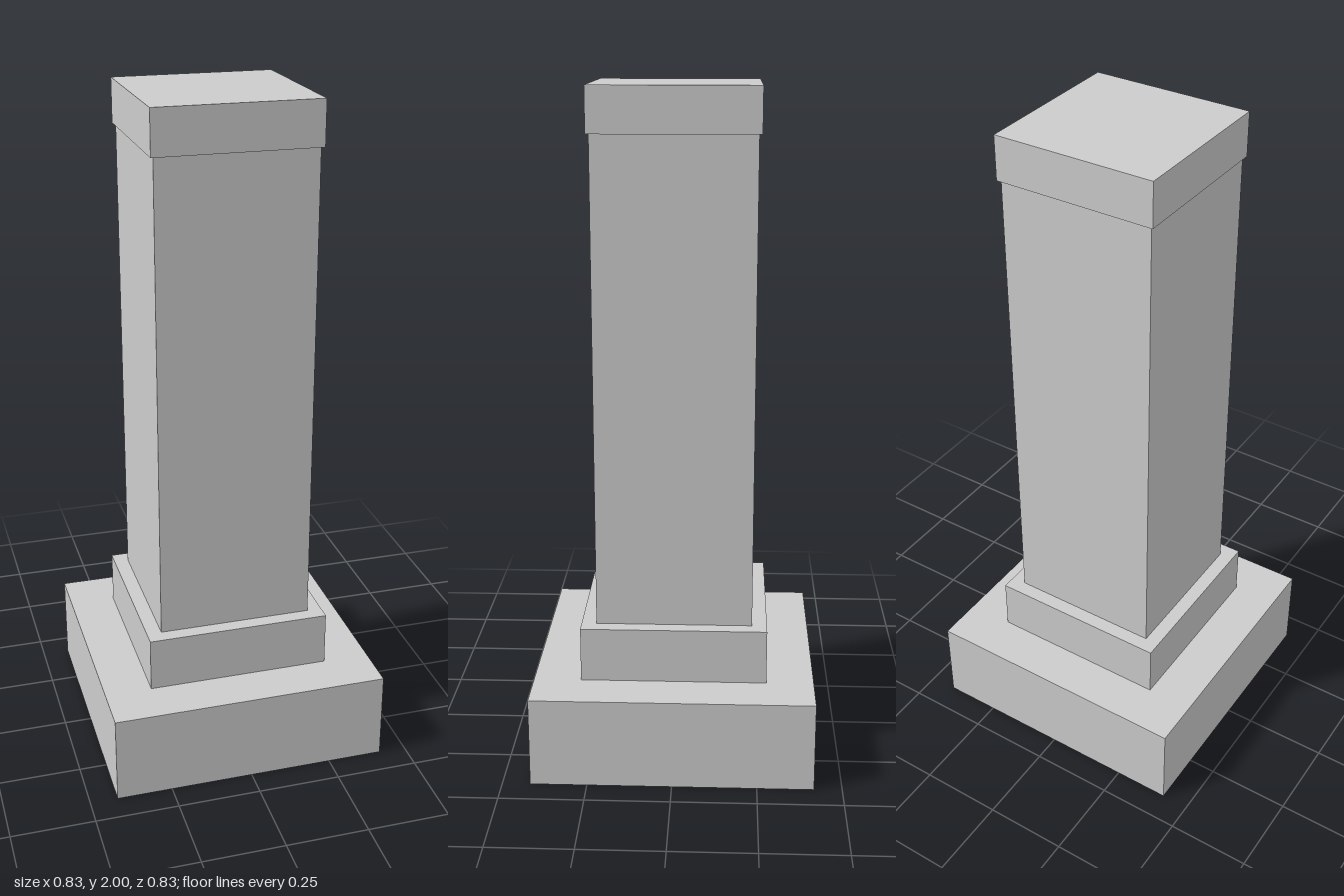
import * as THREE from 'three';

// Square tiers from the ground up: name, width, bottom, top
const TIERS = [
  ['base', 0.835, 0, 0.27],
  ['plinth', 0.553, 0.27, 0.434],
  ['shaft', 0.464, 0.434, 1.87],
  ['cap', 0.481, 1.87, 2],
];

export function createModel() {
  const pillar = new THREE.Group();
  pillar.name = 'pillar';
  const material = new THREE.MeshStandardMaterial({ color: 0xcccccc });

  // Stack one square block per tier
  for (const [name, width, bottom, top] of TIERS) {
    const block = new THREE.Mesh(new THREE.BoxGeometry(width, top - bottom, width), material);
    block.name = name;
    block.position.y = (bottom + top) / 2;
    pillar.add(block);
  }
  return pillar;
}
